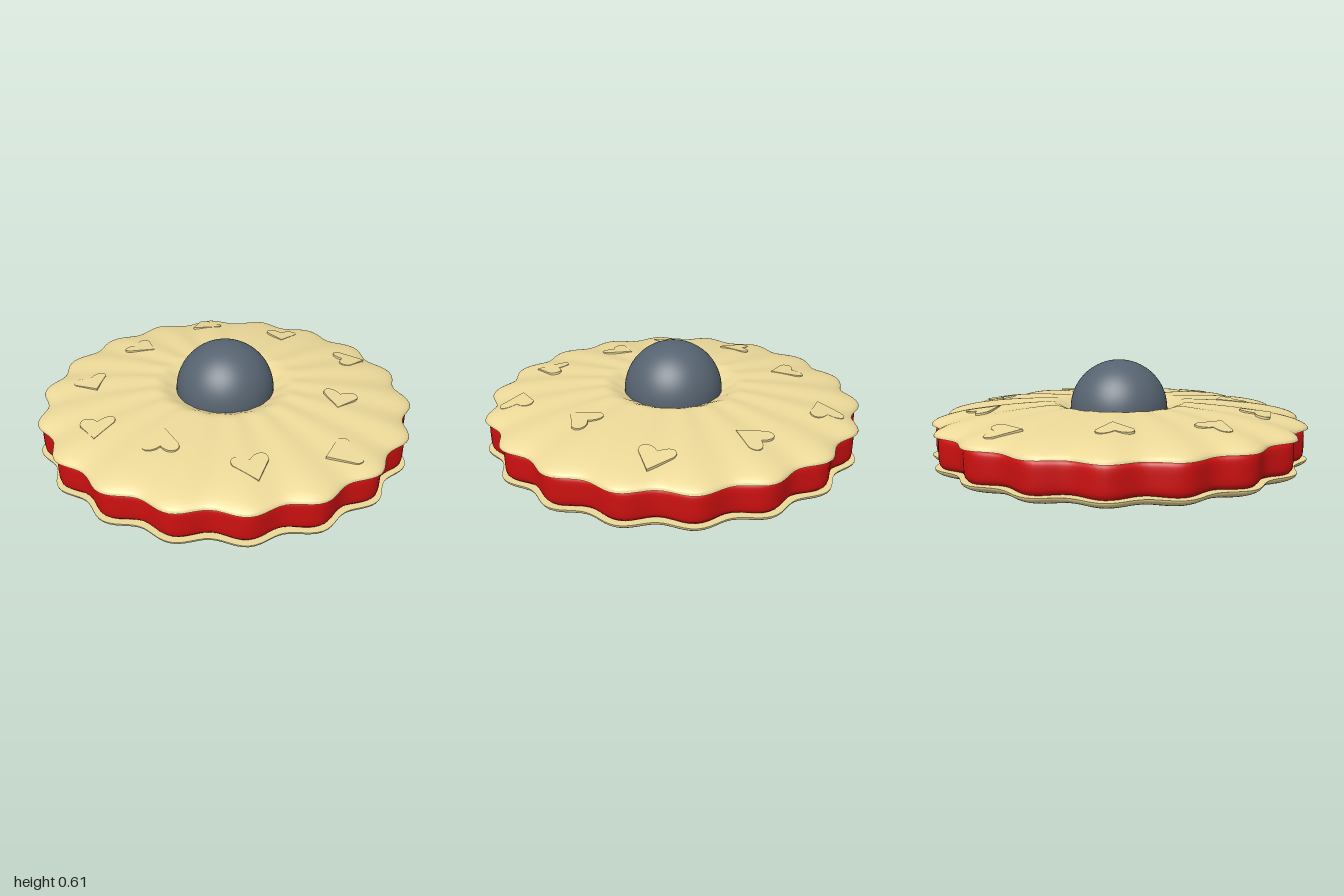
import * as THREE from 'three';
import { mergeVertices, toCreasedNormals } from 'three/addons/utils/BufferGeometryUtils.js';

const LOBES = 18, WAVE = 0.0256, SEGMENTS = 216;
const RADIUS = 0.975, HEIGHT = 0.117; // half-ellipsoid of each biscuit
const TOP_BASE = 0.28, BOTTOM_BASE = 0.122;

// Lathe whose points swell and shrink around the rim, scaled about y = 0
function scalloped(profile, crease) {
  let geo = new THREE.LatheGeometry(profile.map(([r, y]) => new THREE.Vector2(r, y)), SEGMENTS);
  const pos = geo.attributes.position;
  const rows = profile.length;
  for (let i = 0; i < pos.count; i++) {
    const turn = (Math.floor(i / rows) / SEGMENTS) * Math.PI * 2;
    // lathe starts at +z; lobes point along +x and -x
    const s = 1 + WAVE * Math.cos(LOBES * (turn - Math.PI / 2));
    pos.setXYZ(i, pos.getX(i) * s, pos.getY(i) * s, pos.getZ(i) * s);
  }
  geo.deleteAttribute('uv');
  geo.deleteAttribute('normal');
  geo = mergeVertices(geo, 1e-5);
  return toCreasedNormals(geo, crease);
}

const domeHeight = (r) => HEIGHT * Math.sqrt(Math.max(0, 1 - (r / RADIUS) ** 2));

// Rim-to-axis points of a dome, denser near the rim
function domePoints(count, dent) {
  const pts = [];
  for (let i = 0; i <= count; i++) {
    const r = i === count ? 0 : RADIUS * Math.cos((i / count) * Math.PI / 2);
    pts.push([r, domeHeight(r) - dent * (1 - THREE.MathUtils.smoothstep(r, 0.22, 0.37))]);
  }
  return pts;
}

// Heart outline with its tip along +x
function heartShape() {
  const s = new THREE.Shape();
  s.moveTo(0.095, 0);
  s.lineTo(-0.02, 0.085);
  s.bezierCurveTo(-0.07, 0.105, -0.1, 0.05, -0.04, 0);
  s.bezierCurveTo(-0.1, -0.05, -0.07, -0.105, -0.02, -0.085);
  s.closePath();
  return s;
}

export function createModel() {
  const group = new THREE.Group();
  const biscuit = new THREE.MeshStandardMaterial({ color: 0xecd999 });
  const red = new THREE.MeshStandardMaterial({ color: 0xcc1010 });
  const slate = new THREE.MeshStandardMaterial({ color: 0x566370 });
  const add = (name, geo, mat, y = 0) => {
    const mesh = new THREE.Mesh(geo, mat);
    mesh.name = name;
    mesh.position.y = y;
    group.add(mesh);
    return mesh;
  };

  // Lower biscuit: bowl with a flat top
  const bowl = domePoints(36, 0).reverse().map(([r, y]) => [r, -y]);
  add('lowerBiscuit', scalloped([...bowl, [0, 0]], 0.9), biscuit, BOTTOM_BASE - 0.002);

  // Filling: scalloped band with softly rounded edges
  const half = (TOP_BASE - BOTTOM_BASE) / 2;
  const band = [[0, -half], [0.935, -half]];
  for (let i = 0; i <= 12; i++) {
    const t = (i / 12) * 2 - 1;
    band.push([0.938 + 0.018 * Math.sqrt(1 - t ** 4), t * half]);
  }
  band.push([0.935, half], [0, half]);
  add('filling', scalloped(band, 0.9), red, (TOP_BASE + BOTTOM_BASE) / 2);

  // Upper biscuit: dome dented in the middle
  add('upperBiscuit', scalloped([[0, 0], ...domePoints(60, 0.058)], 0.9), biscuit, TOP_BASE);

  // Ball resting in the dent
  add('ball', new THREE.SphereGeometry(0.263, 64, 48), slate, 0.349);

  // Heart pieces pressed into the dome: x, z, tip direction in degrees from +x towards +z
  const hearts = [
    [0.1, -0.81, 155], [-0.35, -0.57, 52], [0.51, -0.51, 110], [-0.69, -0.23, 80], [0.78, -0.11, 5],
    [-0.72, 0.22, 105], [-0.44, 0.45, -69], [-0.085, 0.74, 90], [0.36, 0.74, 170], [0.53, 0.32, 120],
  ];
  const heartGeo = new THREE.ExtrudeGeometry(heartShape(), { depth: 0.026, bevelEnabled: false, curveSegments: 10 });
  heartGeo.translate(0, 0, -0.02);
  heartGeo.rotateX(-Math.PI / 2);
  const up = new THREE.Vector3(0, 1, 0);
  for (const [x, z, deg] of hearts) {
    const h = domeHeight(Math.hypot(x, z));
    const normal = new THREE.Vector3(x / RADIUS ** 2, h / HEIGHT ** 2, z / RADIUS ** 2).normalize();
    const heart = add('heartPiece', heartGeo, biscuit);
    heart.position.set(x, TOP_BASE + h, z);
    heart.quaternion.setFromUnitVectors(up, normal)
      .multiply(new THREE.Quaternion().setFromAxisAngle(up, -THREE.MathUtils.degToRad(deg)));
  }
  return group;
}
